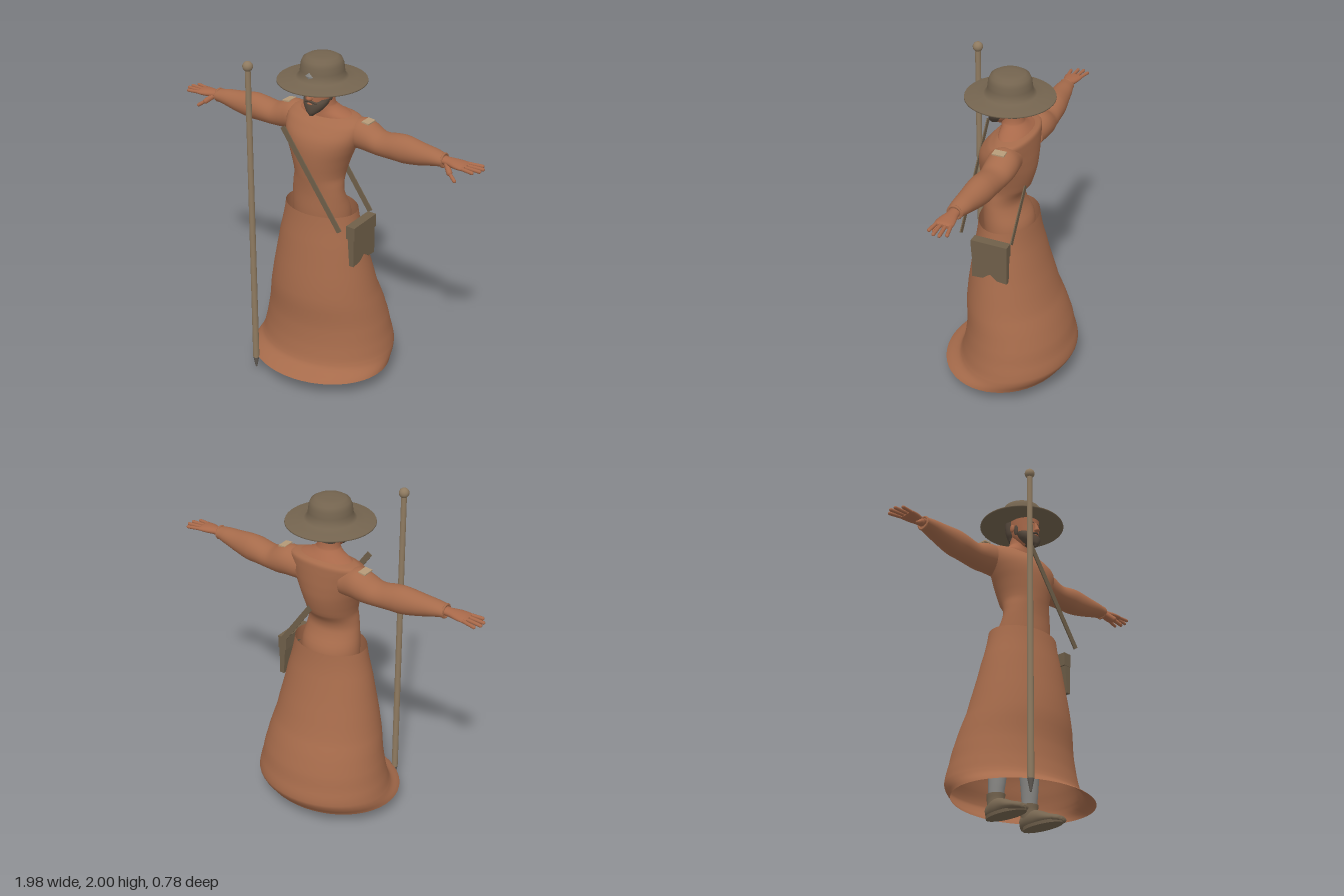
import * as THREE from 'three';

const mat = (name, color, double) => {
  const m = new THREE.MeshStandardMaterial({ color });
  m.name = name;
  if (double) m.side = THREE.DoubleSide;
  return m;
};

// Smooth loft along an axis; each row is [t, centreA, radiusA, centreB, radiusB]
function loft(axis, rows, { seg = 32, steps = 4, caps = true } = {}) {
  const pos = [], idx = [], n = (rows.length - 1) * steps;
  const put = (t, a, b) => pos.push(...(axis === 'y' ? [a, t, b] : axis === 'x' ? [t, a, b] : [a, b, t]));
  const tri = (a, b, c) => (axis === 'y' ? idx.push(a, b, c) : idx.push(a, c, b));
  const at = (i) => rows[Math.max(0, Math.min(rows.length - 1, i))];
  const sample = (j) => {
    const i = Math.min(Math.floor(j / steps), rows.length - 2), f = j / steps - i;
    return rows[0].map((_, k) => {
      const [p, q, r, s] = [at(i - 1)[k], at(i)[k], at(i + 1)[k], at(i + 2)[k]];
      if (k === 0) return q + (r - q) * f;
      return q + 0.5 * f * (r - p + f * (2 * p - 5 * q + 4 * r - s + f * (3 * (q - r) + s - p)));
    });
  };
  const ring = ([t, ca, ra, cb, rb]) => {
    for (let i = 0; i < seg; i++) {
      const w = (i / seg) * Math.PI * 2;
      put(t, ca + ra * Math.cos(w), cb + rb * Math.sin(w));
    }
  };
  for (let j = 0; j <= n; j++) ring(sample(j));
  for (let j = 0; j < n; j++) for (let i = 0; i < seg; i++) {
    const a = j * seg + i, b = j * seg + ((i + 1) % seg);
    tri(a, a + seg, b);
    tri(b, a + seg, b + seg);
  }
  if (caps) for (const j of [0, n]) {
    const row = sample(j), base = pos.length / 3;
    ring(row);
    put(row[0], row[1], row[3]);
    for (let i = 0; i < seg; i++) {
      const a = base + i, b = base + ((i + 1) % seg), c = base + seg;
      if (j === 0) tri(a, b, c); else tri(b, a, c);
    }
  }
  const g = new THREE.BufferGeometry();
  g.setAttribute('position', new THREE.Float32BufferAttribute(pos, 3));
  g.setIndex(idx);
  g.computeVertexNormals();
  return g;
}

// Upright loft from [y, halfWidth, zFront, zBack]
const upright = (rows, opt) => loft('y', rows.map(([y, h, f, b]) => [y, 0, h, (f + b) / 2, (f - b) / 2]), opt);

// Copy reflected across x = 0
function mirrored(g) {
  const m = g.index ? g.toNonIndexed() : g.clone();
  for (const key of ['position', 'normal']) {
    const a = m.attributes[key];
    for (let i = 0; i < a.count; i += 3) {
      const v = [0, 1, 2].map((k) => new THREE.Vector3().fromBufferAttribute(a, i + k));
      [v[0], v[2], v[1]].forEach((p, k) => a.setXYZ(i + k, -p.x, p.y, p.z));
    }
  }
  return m;
}

// Rounded rod between two points
function rod(a, b, r) {
  const p = new THREE.Vector3(...a), q = new THREE.Vector3(...b), d = q.clone().sub(p);
  const g = new THREE.CapsuleGeometry(r, d.length(), 4, 10);
  g.applyQuaternion(new THREE.Quaternion().setFromUnitVectors(new THREE.Vector3(0, 1, 0), d.normalize()));
  return g.translate(...p.add(q).multiplyScalar(0.5).toArray());
}

const ball = (x, y, z, sx, sy, sz) => new THREE.SphereGeometry(1, 20, 14).scale(sx, sy, sz).translate(x, y, z);

export function createModel() {
  const root = new THREE.Group();
  root.name = 'travellerWithStaff';
  const robe = mat('robe brown', 0xa66b4b, true), skin = mat('skin', 0xa8694a);
  const felt = mat('hat and shoe olive', 0x74644f), hair = mat('hair', 0x55483c);
  const leather = mat('leather', 0x6f5f49), wood = mat('staff wood', 0x8e7a60);
  const grey = mat('grey stocking', 0x8b8a87), iron = mat('iron', 0x625c55);
  const tan = mat('tan patch', 0xb59a78), dark = mat('eye dark', 0x2a211c);
  const add = (name, g, m) => {
    const mesh = new THREE.Mesh(g, m);
    mesh.name = name;
    root.add(mesh);
    return mesh;
  };
  const pair = (name, g, m) => {
    add(name + 'Left', g, m);
    add(name + 'Right', mirrored(g), m);
  };

  // Skirt, open at both ends
  add('skirt', upright([
    [0.115, 0.435, 0.39, -0.34], [0.165, 0.425, 0.305, -0.375], [0.21, 0.415, 0.28, -0.395],
    [0.3, 0.395, 0.26, -0.375], [0.42, 0.37, 0.248, -0.345], [0.6, 0.33, 0.25, -0.275],
    [0.9, 0.268, 0.21, -0.19], [1.1, 0.225, 0.18, -0.15],
  ], { seg: 48, caps: false }), robe);

  // Upper body
  add('torso', upright([
    [1.0, 0.18, 0.15, -0.13], [1.1, 0.178, 0.157, -0.12], [1.2, 0.163, 0.156, -0.068],
    [1.26, 0.155, 0.16, -0.07], [1.32, 0.152, 0.168, -0.11], [1.42, 0.18, 0.177, -0.138],
    [1.5, 0.212, 0.175, -0.145], [1.56, 0.232, 0.155, -0.145], [1.62, 0.24, 0.105, -0.143],
    [1.655, 0.215, 0.055, -0.138], [1.672, 0.12, 0.03, -0.11],
  ], { seg: 40 }), robe);
  add('neck', upright([
    [1.62, 0.2, 0.06, -0.13], [1.66, 0.17, 0.055, -0.12], [1.69, 0.1, 0.052, -0.095],
    [1.72, 0.066, 0.053, -0.07], [1.8, 0.06, 0.05, -0.06],
  ]), skin);

  // Sleeves and wrist cuffs
  pair('sleeve', loft('x', [
    [0.14, 1.56, 0.08, -0.045, 0.08], [0.22, 1.573, 0.088, -0.05, 0.09], [0.28, 1.565, 0.085, -0.052, 0.088],
    [0.36, 1.547, 0.068, -0.045, 0.08], [0.46, 1.555, 0.075, -0.04, 0.078], [0.52, 1.557, 0.077, -0.038, 0.075],
    [0.62, 1.56, 0.062, -0.03, 0.064], [0.7, 1.567, 0.047, -0.025, 0.055], [0.765, 1.568, 0.035, -0.02, 0.045],
  ], { seg: 28 }), robe);
  pair('cuff', new THREE.TorusGeometry(0.036, 0.007, 8, 24).rotateY(Math.PI / 2).translate(0.762, 1.568, -0.02), robe);

  // Hands
  pair('palm', loft('x', [
    [0.74, 1.57, 0.022, -0.02, 0.03], [0.79, 1.57, 0.021, -0.02, 0.033], [0.84, 1.569, 0.021, -0.018, 0.047],
    [0.885, 1.568, 0.017, -0.018, 0.052], [0.9, 1.567, 0.01, -0.018, 0.045],
  ], { seg: 20 }), skin);
  [[-0.055, 0.962, -0.075], [-0.03, 0.982, -0.042], [-0.005, 0.98, -0.008], [0.018, 0.955, 0.028]].forEach(([z0, x1, z1], i) =>
    pair('finger' + (i + 1), rod([0.87, 1.569, z0], [x1, 1.566, z1], 0.01), skin));
  pair('thumbBase', rod([0.79, 1.56, 0.0], [0.825, 1.53, 0.03], 0.016), skin);
  pair('thumb', rod([0.82, 1.533, 0.028], [0.866, 1.502, 0.048], 0.01), skin);
  pair('shoulderPatch', new THREE.BoxGeometry(0.045, 0.008, 0.07).rotateZ(-0.1).translate(0.268, 1.654, -0.045), tan);

  // Head and face
  add('head', upright([
    [1.7, 0.035, 0.11, 0.03], [1.73, 0.058, 0.123, -0.01], [1.77, 0.072, 0.128, -0.055],
    [1.82, 0.08, 0.126, -0.073], [1.88, 0.084, 0.128, -0.076],
  ]), skin);
  add('hair', upright([
    [1.755, 0.06, 0.0, -0.066], [1.79, 0.078, 0.018, -0.078], [1.83, 0.086, 0.022, -0.083], [1.875, 0.088, 0.025, -0.083],
  ]), hair);
  add('beard', upright([
    [1.68, 0.012, 0.128, 0.09], [1.7, 0.038, 0.136, 0.05], [1.73, 0.064, 0.136, 0.02],
    [1.755, 0.075, 0.13, 0.005], [1.775, 0.078, 0.112, 0.005],
  ]), hair);
  add('lips', ball(0, 1.752, 0.13, 0.018, 0.005, 0.006), skin);
  add('nose', loft('y', [
    [1.772, 0, 0.012, 0.125, 0.01], [1.782, 0, 0.017, 0.132, 0.02], [1.8, 0, 0.012, 0.13, 0.015], [1.835, 0, 0.009, 0.122, 0.008],
  ], { seg: 16 }), skin);
  pair('moustache', rod([0.004, 1.768, 0.129], [0.034, 1.757, 0.118], 0.007), hair);
  pair('sideburn', ball(0.076, 1.795, 0.035, 0.008, 0.035, 0.016), hair);
  pair('ear', ball(0.085, 1.81, 0.012, 0.01, 0.026, 0.016), skin);
  pair('eye', ball(0.033, 1.822, 0.115, 0.012, 0.005, 0.004), dark);
  pair('eyebrow', rod([0.017, 1.837, 0.122], [0.05, 1.84, 0.104], 0.004), hair);

  // Hat with a wide flat brim
  const hat = [[0, 1.868], [0.1, 1.866], [0.245, 1.852], [0.251, 1.854], [0.249, 1.86], [0.19, 1.868], [0.145, 1.877],
    [0.128, 1.89], [0.123, 1.92], [0.119, 1.955], [0.108, 1.981], [0.085, 1.995], [0.045, 2], [0, 2]];
  add('hat', new THREE.LatheGeometry(hat.map((p) => new THREE.Vector2(...p)), 48).translate(0, 0, 0.01), felt);
  add('hatBadge', new THREE.OctahedronGeometry(0.026).scale(1, 0.9, 0.25).translate(0, 1.91, 0.134), grey);

  // Stockings and shoes
  pair('stocking', loft('y', [
    [0.1, 0.132, 0.04, -0.06, 0.042], [0.2, 0.13, 0.045, -0.055, 0.05], [0.38, 0.12, 0.058, -0.045, 0.062],
    [0.55, 0.11, 0.058, -0.02, 0.06], [0.95, 0.09, 0.075, 0, 0.085],
  ], { seg: 20 }), grey);
  pair('shoe', loft('z', [
    [-0.115, 0.135, 0.022, 0.035, 0.026], [-0.1, 0.135, 0.042, 0.05, 0.042], [-0.05, 0.138, 0.05, 0.062, 0.056],
    [0.01, 0.143, 0.052, 0.056, 0.05], [0.08, 0.15, 0.06, 0.041, 0.035], [0.14, 0.152, 0.055, 0.03, 0.025],
    [0.168, 0.15, 0.035, 0.025, 0.017], [0.176, 0.15, 0.012, 0.022, 0.008],
  ], { seg: 24 }), felt);
  pair('shoeSole', loft('y', [[0.004, 0.144, 0.058, 0.03, 0.142], [0.022, 0.144, 0.061, 0.03, 0.146]], { seg: 28, steps: 1 }), felt);
  pair('shoeAnkle', loft('y', [
    [0.06, 0.134, 0.046, -0.055, 0.055], [0.11, 0.132, 0.047, -0.06, 0.052], [0.145, 0.132, 0.05, -0.06, 0.054],
  ], { seg: 20 }), felt);

  // Diagonal shoulder strap, front and back
  const strap = new THREE.BoxGeometry(0.034, 0.66, 0.006).rotateZ(Math.atan2(0.38, 0.54)).translate(0.06, 1.34, 0);
  add('strapFront', strap.clone().translate(0, 0, 0.203), leather);
  add('strapBack', strap.clone().translate(0, 0, -0.106), leather);

  // Satchel with a notched lower edge and a lid
  const panel = (pts, x, depth) => new THREE.ExtrudeGeometry(
    new THREE.Shape(pts.map(([z, y]) => new THREE.Vector2(-z, y))), { depth, bevelEnabled: false },
  ).rotateY(Math.PI / 2).translate(x, 0, 0);
  const bag = panel([[0.12, 1.065], [0.12, 0.82], [0.055, 0.825], [0.01, 0.86], [-0.035, 0.825], [-0.095, 0.82], [-0.095, 1.065]], 0.245, 0.045);
  const bp = bag.attributes.position;
  for (let i = 0; i < bp.count; i++) if (bp.getX(i) < 0.26 && bp.getY(i) < 0.9) bp.setX(i, 0.262);
  bag.computeVertexNormals();
  add('satchel', bag, leather);
  add('satchelLid', panel([[0.122, 1.07], [0.122, 0.99], [-0.097, 0.99], [-0.097, 1.07]], 0.241, 0.055), leather);

  // Walking staff
  const sx = -0.265, sz = 0.325;
  add('staffShaft', new THREE.CylinderGeometry(0.016, 0.019, 1.85, 16).translate(sx, 1.035, sz), wood);
  add('staffKnob', ball(sx, 1.972, sz, 0.029, 0.029, 0.029), wood);
  add('staffTip', new THREE.CylinderGeometry(0.019, 0.005, 0.075, 16).translate(sx, 0.077, sz), iron);
  return root;
}
